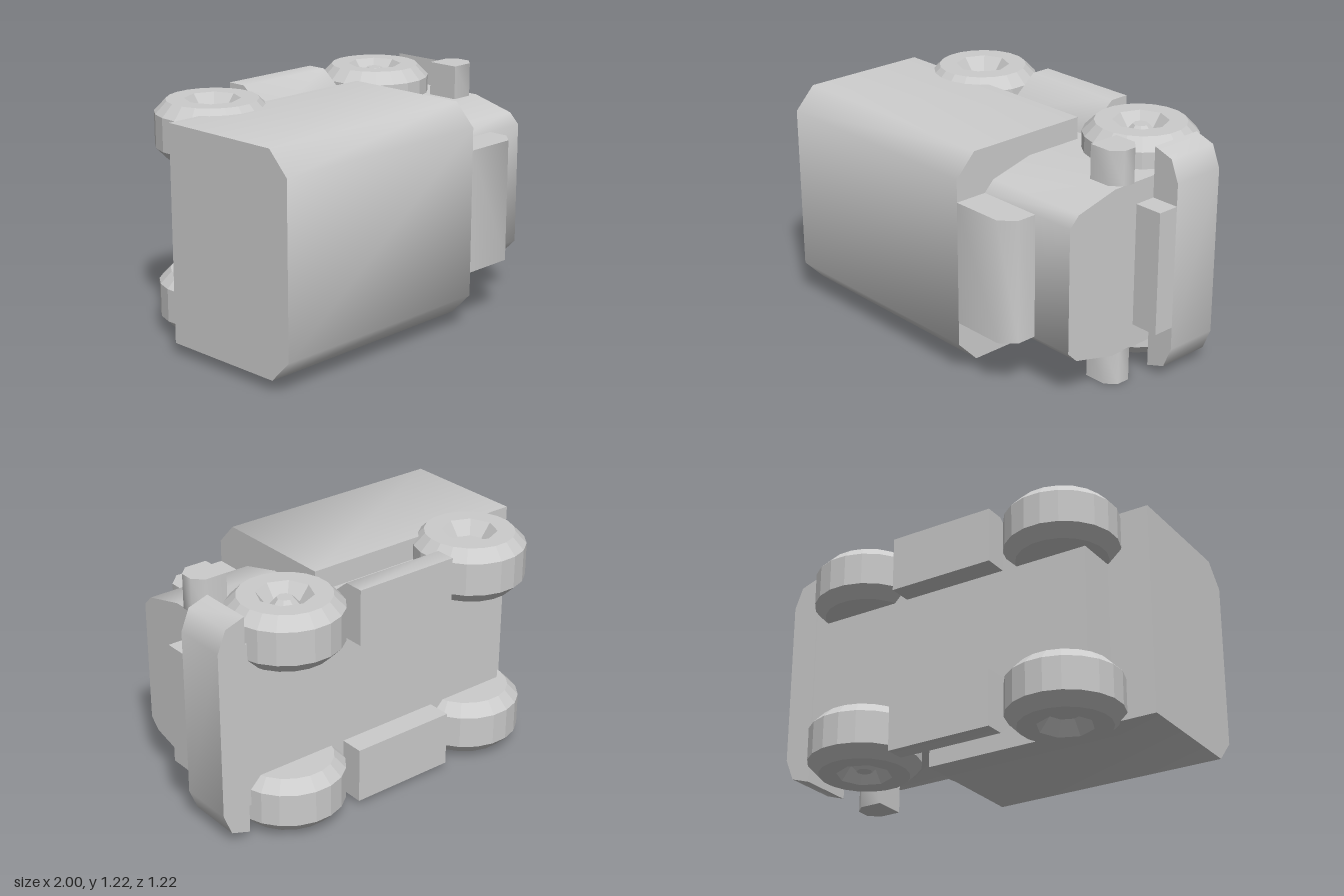
import * as THREE from 'three';
import { toCreasedNormals } from 'three/addons/utils/BufferGeometryUtils.js';

const MID = 0.61; // height of the mirror plane
const flip = (y) => 2 * MID - y;
const smooth = new THREE.MeshStandardMaterial({ color: 0xcccccc });
const flat = new THREE.MeshStandardMaterial({ color: 0xcccccc, flatShading: true });

// Prism along an axis. Profile axes: x -> (y, z), y -> (z, x), z -> (x, y)
function prism(name, axis, points, from, to) {
  const shape = new THREE.Shape(points.map(([a, b]) => new THREE.Vector2(a, b)));
  const geo = new THREE.ExtrudeGeometry(shape, { depth: to - from, bevelEnabled: false });
  geo.translate(0, 0, from);
  const X = new THREE.Vector3(1, 0, 0), Y = new THREE.Vector3(0, 1, 0), Z = new THREE.Vector3(0, 0, 1);
  const basis = { x: [Y, Z, X], y: [Z, X, Y], z: [X, Y, Z] }[axis];
  geo.applyMatrix4(new THREE.Matrix4().makeBasis(...basis));
  const mesh = new THREE.Mesh(toCreasedNormals(geo, 0.9), smooth);
  mesh.name = name;
  return mesh;
}

// Completes a (y, z) half profile with its mirror image
const mirrored = (half) => [...half, ...half.slice().reverse().map(([y, z]) => [flip(y), z])];

function polygon(Type, radius, sides, offset) {
  const pts = [];
  for (let i = 0; i < sides; i++) {
    const a = offset + (i / sides) * Math.PI * 2;
    pts.push(new THREE.Vector2(Math.cos(a) * radius, Math.sin(a) * radius));
  }
  return new Type(pts);
}

function lathe(name, points, sides, start) {
  const pts = points.map(([r, y]) => new THREE.Vector2(r, y));
  const mesh = new THREE.Mesh(new THREE.LatheGeometry(pts, sides, start), flat);
  mesh.name = name;
  return mesh;
}

// Wheel with its axle on y and the hub facing up
function makeWheel(name, hasCone) {
  const wheel = new THREE.Group();
  wheel.name = name;
  wheel.add(lathe('tyre', [[0, 0], [0.23, 0], [0.288, 0.06], [0.288, 0.23], [0.23, 0.29]], 20, Math.PI / 20));

  const face = polygon(THREE.Shape, 0.23, 20, Math.PI / 20);
  face.holes.push(polygon(THREE.Path, 0.14, 8, 0));
  const ring = new THREE.Mesh(new THREE.ShapeGeometry(face).rotateX(-Math.PI / 2), flat);
  ring.position.y = 0.29;
  ring.name = 'wheelFace';
  wheel.add(ring);

  const center = hasCone ? [[0.04, 0.27], [0, 0.27]] : [[0, 0.22]];
  wheel.add(lathe('hub', [[0.14, 0.29], [0.085, 0.22], ...center], 8, 0));
  return wheel;
}

export function createModel() {
  const model = new THREE.Group();
  model.name = 'truck';

  // Cargo body, cab and chassis
  model.add(prism('cargoBox', 'x', mirrored([[1.16, -0.18], [1.16, 0.5], [1.045, 0.61]]), -1, 0.27));
  model.add(prism('cab', 'x',
    mirrored([[1.045, -0.4], [1.045, 0.145], [0.985, 0.38], [0.93, 0.435]]), 0.27, 0.85));
  model.add(prism('chassis', 'x', mirrored([[1.045, -0.4], [1.045, -0.1]]), -0.77, 0.27));

  // Roof deflector
  model.add(prism('roofDeflector', 'y',
    [[0.43, 0.27], [0.43, 0.62], [0.54, 0.62], [0.61, 0.55], [0.61, 0.27]], 0.295, 0.93));

  // Bumper with a raised grille in the middle
  const half = [[0.85, 1.19], [0.955, 1.155], [1, 1.045]];
  const bumper = [...half, ...half.slice().reverse().map(([x, y]) => [x, flip(y)])];
  model.add(prism('bumper', 'z', bumper, -0.405, -0.115));
  model.add(prism('grille', 'y', [[-0.115, 0.85], [-0.115, 1], [0, 1], [0, 0.85]], 0.295, 0.93));

  // Mirrors on both sides of the cab
  const mirror = [[-0.03, 0.68], [-0.03, 0.8], [0.02, 0.85], [0.09, 0.85], [0.14, 0.8], [0.14, 0.68]];
  model.add(prism('mirrorUpper', 'y', mirror, 1.04, 1.22));
  model.add(prism('mirrorLower', 'y', mirror, 0, 0.18));

  // Side tanks between the wheels
  const tank = [[0.9, -0.525], [1.19, -0.525], [1.19, -0.42], [1.04, -0.24], [0.9, -0.24]];
  model.add(prism('sideTankUpper', 'x', tank, -0.305, 0.27));
  model.add(prism('sideTankLower', 'x', tank.map(([y, z]) => [flip(y), z]), -0.305, 0.27));

  // Four wheels, the front pair with a raised hub
  for (const [label, x, cone] of [['rearWheel', -0.6, false], ['frontWheel', 0.56, true]]) {
    const upper = makeWheel(label + 'Upper', cone);
    upper.position.set(x, 0.9, -0.325);
    const lower = makeWheel(label + 'Lower', cone);
    lower.rotation.x = Math.PI;
    lower.position.set(x, 0.32, -0.325);
    model.add(upper, lower);
  }
  return model;
}
